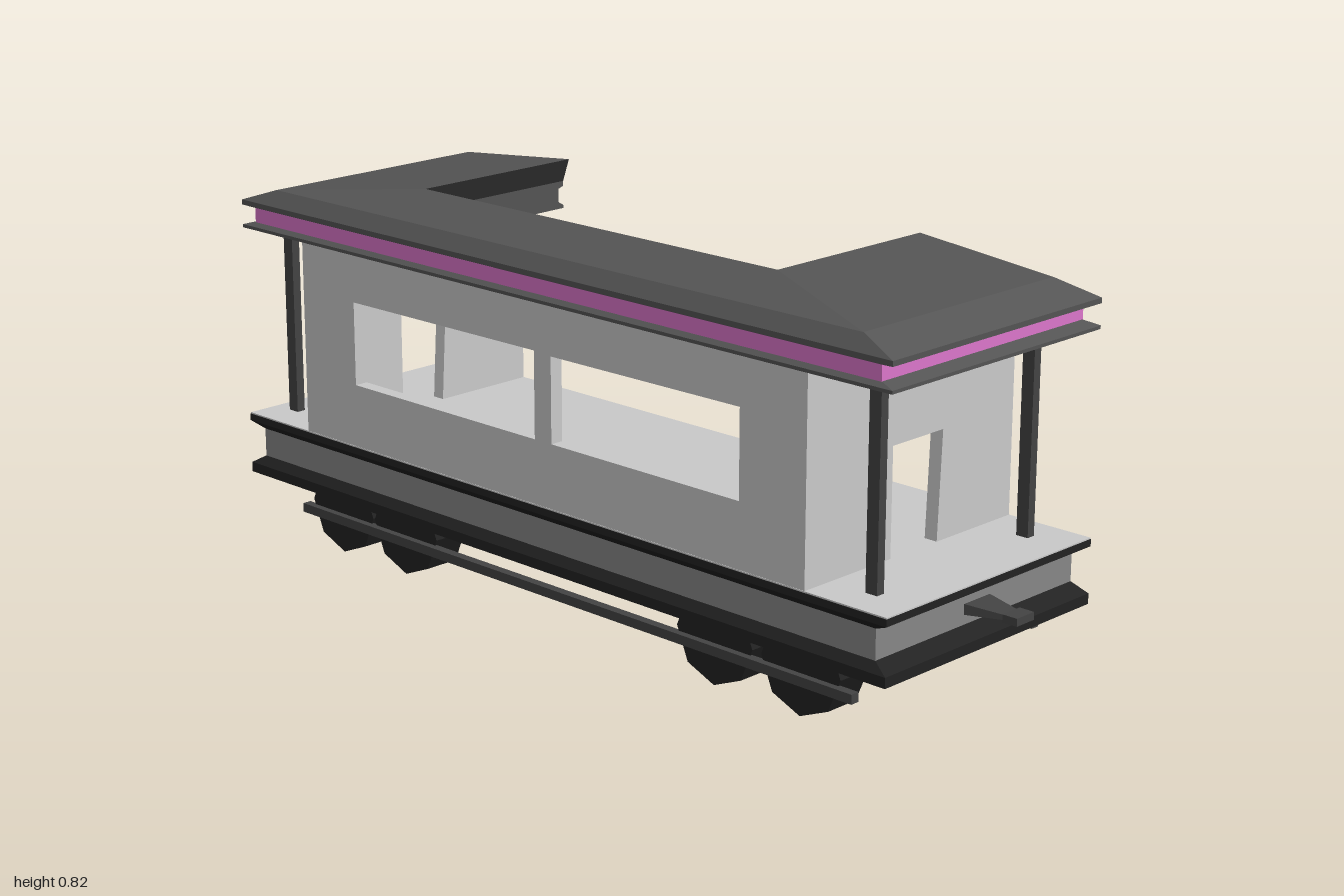
import * as THREE from 'three';

const mat = (color) => new THREE.MeshStandardMaterial({ color, flatShading: true });
const GREY = mat(0xcccccc), ROOF = mat(0x555555), BLACK = mat(0x222222);
const BEAM = mat(0x888888), STEEL = mat(0x444444), PINK = mat(0xdd77cc);

function add(parent, name, geometry, material, x = 0, y = 0, z = 0) {
  const mesh = new THREE.Mesh(geometry, material);
  mesh.name = name;
  mesh.position.set(x, y, z);
  parent.add(mesh);
  return mesh;
}

// Box given by its minimum and maximum corners
function addBox(parent, name, material, [x0, y0, z0], [x1, y1, z1]) {
  return add(parent, name, new THREE.BoxGeometry(x1 - x0, y1 - y0, z1 - z0), material,
    (x0 + x1) / 2, (y0 + y1) / 2, (z0 + z1) / 2);
}

// Joins rings of points with flat quads; caps are quads of ring indices
function loft(rings, startCaps, endCaps) {
  const pos = [];
  const quad = (a, b, c, d) => pos.push(...a, ...b, ...c, ...a, ...c, ...d);
  for (let r = 0; r + 1 < rings.length; r++) {
    const lo = rings[r], hi = rings[r + 1], n = lo.length;
    for (let i = 0; i < n; i++) quad(lo[i], hi[i], hi[(i + 1) % n], lo[(i + 1) % n]);
  }
  const first = rings[0], last = rings[rings.length - 1];
  for (const q of startCaps) quad(...q.map((i) => first[i]));
  for (const q of endCaps) quad(...[...q].reverse().map((i) => last[i]));
  const geometry = new THREE.BufferGeometry();
  geometry.setAttribute('position', new THREE.Float32BufferAttribute(pos, 3));
  geometry.computeVertexNormals();
  return geometry;
}

const rect = (x, z, y) => [[x, y, z], [-x, y, z], [-x, y, -z], [x, y, -z]];
const RECT_CAP = [[0, 1, 2, 3]];

// C-shaped ring, open towards +x
const cRing = (left, right, oz, yo, ix, iz, yi = yo) => [
  [right, yo, oz], [left, yo, oz], [left, yo, -oz], [right, yo, -oz],
  [right, yi, -iz], [ix, yi, -iz], [ix, yi, iz], [right, yi, iz],
];
const C_CAP = [[0, 1, 6, 7], [1, 2, 5, 6], [2, 3, 4, 5]];

function polygon(points) {
  return new THREE.Shape(points.map(([x, y]) => new THREE.Vector2(x, y)));
}

function buildChassis() {
  const g = new THREE.Group();
  g.name = 'chassis';
  // Hollow lower rail and side beams
  add(g, 'lowerRail', loft([
    rect(0.28, 0.86, 0.177), rect(0.28, 0.86, 0.135), rect(0.31, 0.92, 0.135),
    rect(0.31, 0.92, 0.157), rect(0.297, 0.885, 0.177),
  ], [], []), BLACK);
  add(g, 'sideBeams', loft([rect(0.28, 0.86, 0.24), rect(0.28, 0.86, 0.177)], [], []), BEAM);
  add(g, 'outerBeams', loft([rect(0.297, 0.885, 0.177), rect(0.297, 0.885, 0.24)], [], []), BEAM);
  // Platform with bevelled edge and pale floor
  add(g, 'platform', loft([
    rect(0.297, 0.885, 0.24), rect(0.31, 0.92, 0.255), rect(0.31, 0.92, 0.27),
  ], RECT_CAP, RECT_CAP), BLACK);
  addBox(g, 'floor', GREY, [-0.309, 0.269, -0.919], [0.309, 0.273, 0.919]);

  for (const s of [1, -1]) {
    // Eight-sided wheels and the rod along them
    for (const z of [0.68, 0.457, -0.45, -0.655]) {
      const wheel = new THREE.CylinderGeometry(0.1, 0.1, 0.08, 8);
      wheel.rotateZ(Math.PI / 2);
      add(g, 'wheel', wheel, BLACK, s * 0.23, 0.1, z);
    }
    addBox(g, 'wheelRod', STEEL, [s * 0.275 - 0.01, 0.068, -0.775], [s * 0.275 + 0.01, 0.088, 0.82]);

    // Coupler: tapered arm with a small head
    const arm = new THREE.CylinderGeometry(1, 1, 0.1, 4, 1);
    arm.rotateY(Math.PI / 4);
    arm.rotateX(Math.PI / 2);
    const p = arm.attributes.position;
    for (let i = 0; i < p.count; i++) {
      const tip = p.getZ(i) > 0;
      p.setX(i, Math.sign(Math.round(p.getX(i) * 10)) * (tip ? 0.02 : 0.043));
      p.setY(i, Math.sign(Math.round(p.getY(i) * 10)) * (tip ? 0.005 : 0.012));
    }
    arm.computeVertexNormals();
    const coupler = new THREE.Group();
    coupler.name = 'coupler';
    add(coupler, 'couplerArm', arm, STEEL, 0, 0.208, 0.918);
    addBox(coupler, 'couplerHead', STEEL, [-0.026, 0.2, 0.966], [0.026, 0.216, 1]);
    coupler.rotation.y = s > 0 ? 0 : Math.PI;
    g.add(coupler);
  }
  return g;
}

function buildCabin() {
  const g = new THREE.Group();
  g.name = 'cabin';
  const y0 = 0.272, y1 = 0.7, extrude = { depth: 0.03, bevelEnabled: false };

  // End walls with a slightly crooked doorway
  const endWall = (name, doorBottom, doorTop, z) => add(g, name, new THREE.ExtrudeGeometry(polygon([
    [-0.308, y0], [-0.06, y0], [-0.06, 0.5], [doorTop, 0.5], [doorBottom, y0],
    [0.308, y0], [0.308, y1], [-0.308, y1],
  ]), extrude), GREY, 0, 0, z);
  endWall('frontWall', 0.08, 0.09, 0.69);
  endWall('backWall', 0.058, 0.072, -0.72);

  // Long side wall with two windows
  const side = polygon([[-0.69, y0], [0.69, y0], [0.69, y1], [-0.69, y1]]);
  for (const [a, b] of [[-0.555, -0.003], [0.045, 0.553]]) {
    side.holes.push(polygon([[a, 0.41], [a, 0.592], [b, 0.595], [b, 0.41]]));
  }
  const sideWall = new THREE.ExtrudeGeometry(side, extrude);
  sideWall.rotateY(-Math.PI / 2);
  add(g, 'sideWall', sideWall, GREY, -0.278);

  // Porch posts
  for (const x of [-0.225, 0.23]) {
    for (const z of [0.82, -0.86]) {
      addBox(g, 'porchPost', STEEL, [x - 0.01, y0, z - 0.014], [x + 0.01, y1, z + 0.014]);
    }
  }
  return g;
}

function buildRoof() {
  const g = new THREE.Group();
  g.name = 'roof';
  const ix = -0.2, iz = 0.555;
  // Lower trim, recessed band, eave and sloping top in one C-shaped body
  add(g, 'roofBody', loft([
    cRing(-0.31, 0.31, 0.92, 0.695, ix, iz),
    cRing(-0.31, 0.31, 0.92, 0.702, ix, iz),
    cRing(-0.298, 0.295, 0.885, 0.711, ix, iz),
    cRing(-0.298, 0.295, 0.885, 0.741, ix, iz),
    cRing(-0.31, 0.31, 0.92, 0.746, ix, iz),
    cRing(-0.31, 0.31, 0.92, 0.757, ix, iz),
    cRing(-0.285, 0.275, 0.83, 0.788, -0.148, 0.5, 0.82),
  ], C_CAP, C_CAP), ROOF);
  // Coloured band between trim and eave
  add(g, 'colourBand', loft([
    cRing(-0.3, 0.297, 0.887, 0.71, -0.202, 0.557),
    cRing(-0.3, 0.297, 0.887, 0.742, -0.202, 0.557),
  ], C_CAP, C_CAP), PINK);
  return g;
}

export function createModel() {
  const model = new THREE.Group();
  model.name = 'railCarriage';
  model.add(buildChassis(), buildCabin(), buildRoof());
  return model;
}
